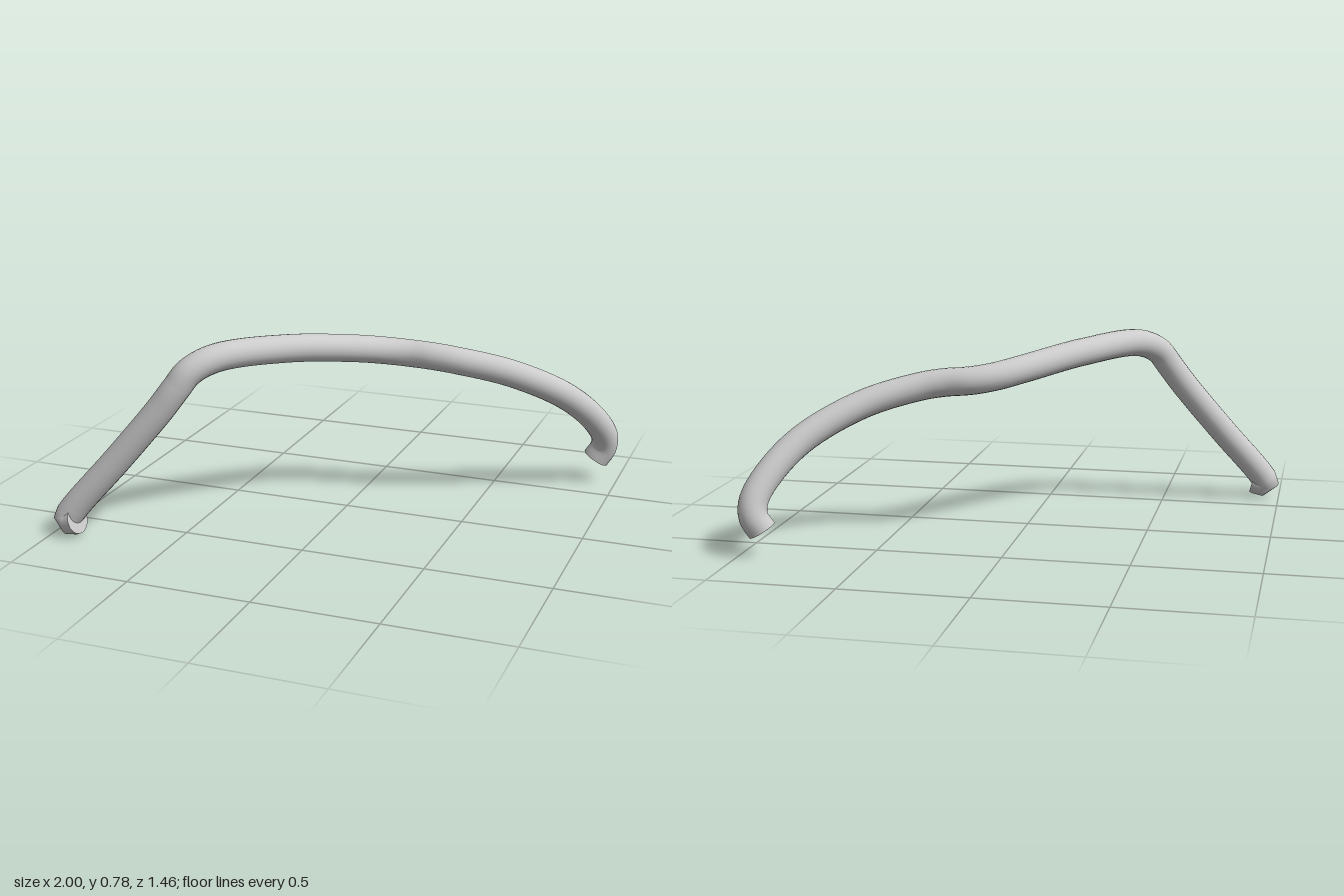
import * as THREE from 'three';

const RADIUS = 0.057;
const SIDES = 20;

// Centre line, from the hooked low end to the curled far end
const PATH = [
  [-0.893, 0.071, 0.676], [-0.925, 0.06, 0.671], [-0.942, 0.067, 0.666], [-0.917, 0.11, 0.655],
  [-0.75, 0.31, 0.597], [-0.583, 0.52, 0.536], [-0.52, 0.61, 0.508], [-0.476, 0.673, 0.478],
  [-0.4, 0.716, 0.402], [-0.2, 0.709, 0.153], [0, 0.67, -0.07], [0.1, 0.649, -0.155],
  [0.19, 0.636, -0.197], [0.3, 0.627, -0.215], [0.4, 0.61, -0.243], [0.6, 0.55, -0.34],
  [0.8, 0.432, -0.483], [0.905, 0.307, -0.596], [0.943, 0.215, -0.656], [0.938, 0.158, -0.672],
  [0.908, 0.106, -0.664],
].map((p) => new THREE.Vector3(...p));

export function createModel() {
  const group = new THREE.Group();
  group.name = 'bentRod';
  const material = new THREE.MeshStandardMaterial({ color: 0xcccccc, side: THREE.DoubleSide });
  const curve = new THREE.CatmullRomCurve3(PATH, false, 'centripetal');

  // Round rod swept along the centre line
  const rod = new THREE.Mesh(new THREE.TubeGeometry(curve, 160, RADIUS, SIDES, false), material);
  rod.name = 'rod';
  group.add(rod);

  // Flat discs closing both ends
  for (const [name, t, sign] of [['hookEndCap', 0, -1], ['curledEndCap', 1, 1]]) {
    const cap = new THREE.Mesh(new THREE.CircleGeometry(RADIUS, SIDES), material);
    const outward = curve.getTangentAt(t).multiplyScalar(sign);
    cap.name = name;
    cap.position.copy(curve.getPointAt(t));
    cap.quaternion.setFromUnitVectors(new THREE.Vector3(0, 0, 1), outward);
    group.add(cap);
  }
  return group;
}
